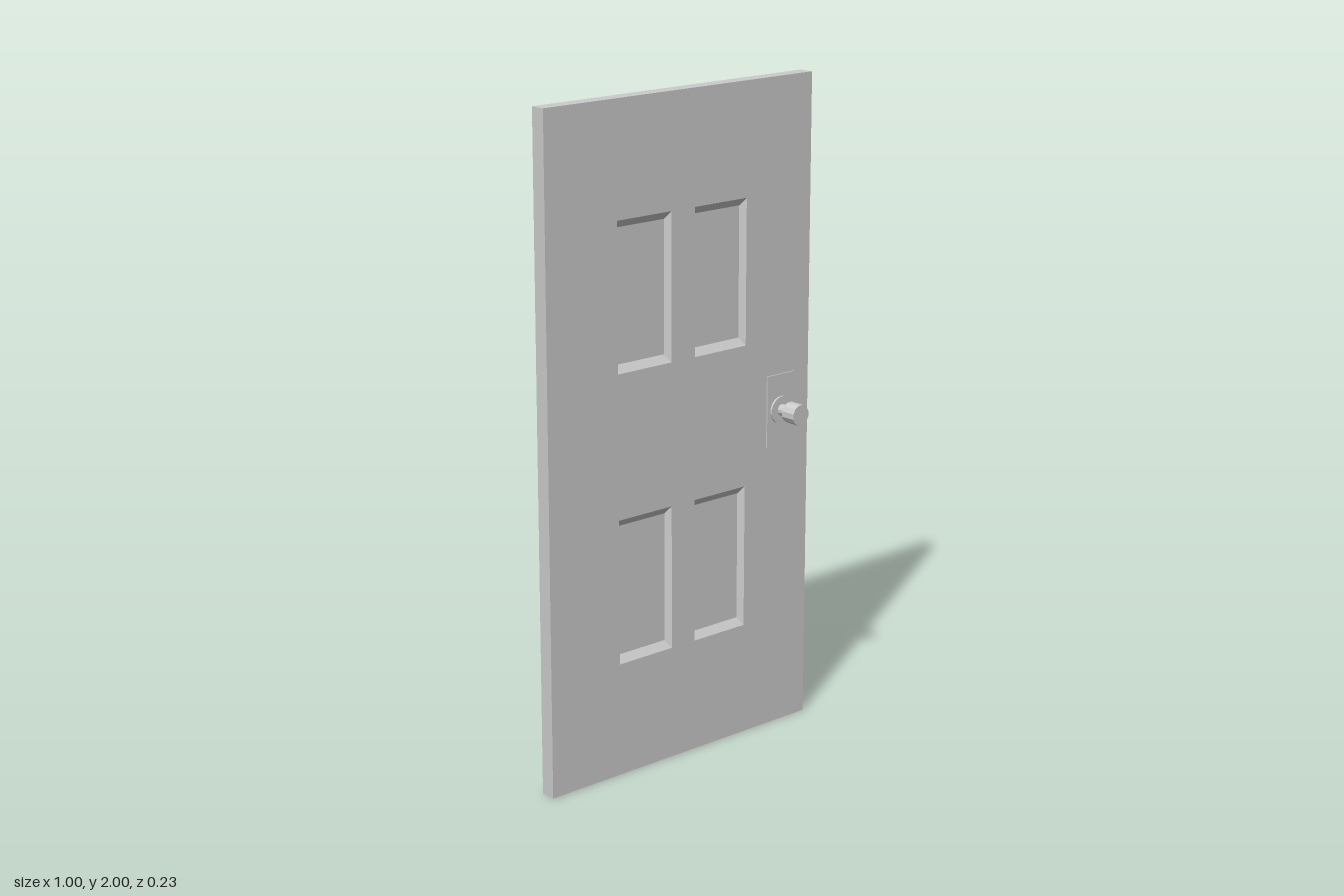
import * as THREE from 'three';

const HALF = 0.0235;                 // half the slab thickness
const PW = 0.2, PH = 0.44;           // panel opening
const BEVEL_X = 0.013, BEVEL_Y = 0.023, RECESS = 0.018;
const KNOB = { x: 0.385, y: 1.0 };

const material = new THREE.MeshStandardMaterial({ color: 0xcccccc, flatShading: true });

function part(name, geometry, x = 0, y = 0, z = 0) {
  const mesh = new THREE.Mesh(geometry, material);
  mesh.name = name;
  mesh.position.set(x, y, z);
  return mesh;
}

// Sunken panel: bevelled rim and flat field, on both faces
function panelGeometry() {
  const rings = [
    [PW / 2, PH / 2, HALF],
    [PW / 2 - BEVEL_X, PH / 2 - BEVEL_Y, HALF - RECESS],
    [PW / 2 - BEVEL_X, PH / 2 - BEVEL_Y, RECESS - HALF],
    [PW / 2, PH / 2, -HALF],
  ];
  const positions = [], index = [];
  for (const [w, h, z] of rings) positions.push(-w, -h, z, w, -h, z, w, h, z, -w, h, z);
  for (const r of [0, 2]) {
    for (let i = 0; i < 4; i++) {
      const a = r * 4 + i, b = r * 4 + (i + 1) % 4;
      index.push(a, b, b + 4, a, b + 4, a + 4);
    }
  }
  index.push(4, 5, 6, 4, 6, 7, 8, 10, 9, 8, 11, 10);
  const indexed = new THREE.BufferGeometry();
  indexed.setAttribute('position', new THREE.Float32BufferAttribute(positions, 3));
  indexed.setIndex(index);
  const geometry = indexed.toNonIndexed();
  geometry.computeVertexNormals();
  return geometry;
}

function rectangle(Type, x, y, w, h) {
  return new Type([
    new THREE.Vector2(x - w / 2, y - h / 2), new THREE.Vector2(x + w / 2, y - h / 2),
    new THREE.Vector2(x + w / 2, y + h / 2), new THREE.Vector2(x - w / 2, y + h / 2),
  ]);
}

// Cylinder along z between two depths
function rod(name, radius, z0, z1, sides) {
  const geometry = new THREE.CylinderGeometry(radius, radius, z1 - z0, sides);
  geometry.rotateY(Math.PI / sides).rotateX(Math.PI / 2);
  return part(name, geometry, 0, 0, (z0 + z1) / 2);
}

// Back plate, rose, stem and knob for one face
function handle(name) {
  const group = new THREE.Group();
  group.name = name;
  group.add(
    part('backPlate', new THREE.BoxGeometry(0.108, 0.22, 0.008), 0, 0, HALF),
    rod('rose', 0.042, HALF, 0.034, 16),
    rod('stem', 0.018, 0.03, 0.068, 12),
    rod('knob', 0.032, 0.066, 0.115, 12),
  );
  group.position.set(KNOB.x, KNOB.y, 0);
  return group;
}

export function createModel() {
  const door = new THREE.Group();
  door.name = 'door';

  // Slab with four openings, each filled by a panel
  const outline = rectangle(THREE.Shape, 0, 1, 1, 2);
  const panel = panelGeometry();
  for (const y of [0.567, 1.44]) {
    for (const x of [-0.1445, 0.1445]) {
      outline.holes.push(rectangle(THREE.Path, x, y, PW, PH));
      door.add(part('panel', panel, x, y));
    }
  }
  const slab = new THREE.ExtrudeGeometry(outline, { depth: HALF * 2, bevelEnabled: false });
  door.add(part('slab', slab, 0, 0, -HALF));

  // Handles on both faces
  const front = handle('frontHandle');
  const back = handle('backHandle');
  back.rotation.y = Math.PI;
  door.add(front, back);
  return door;
}
